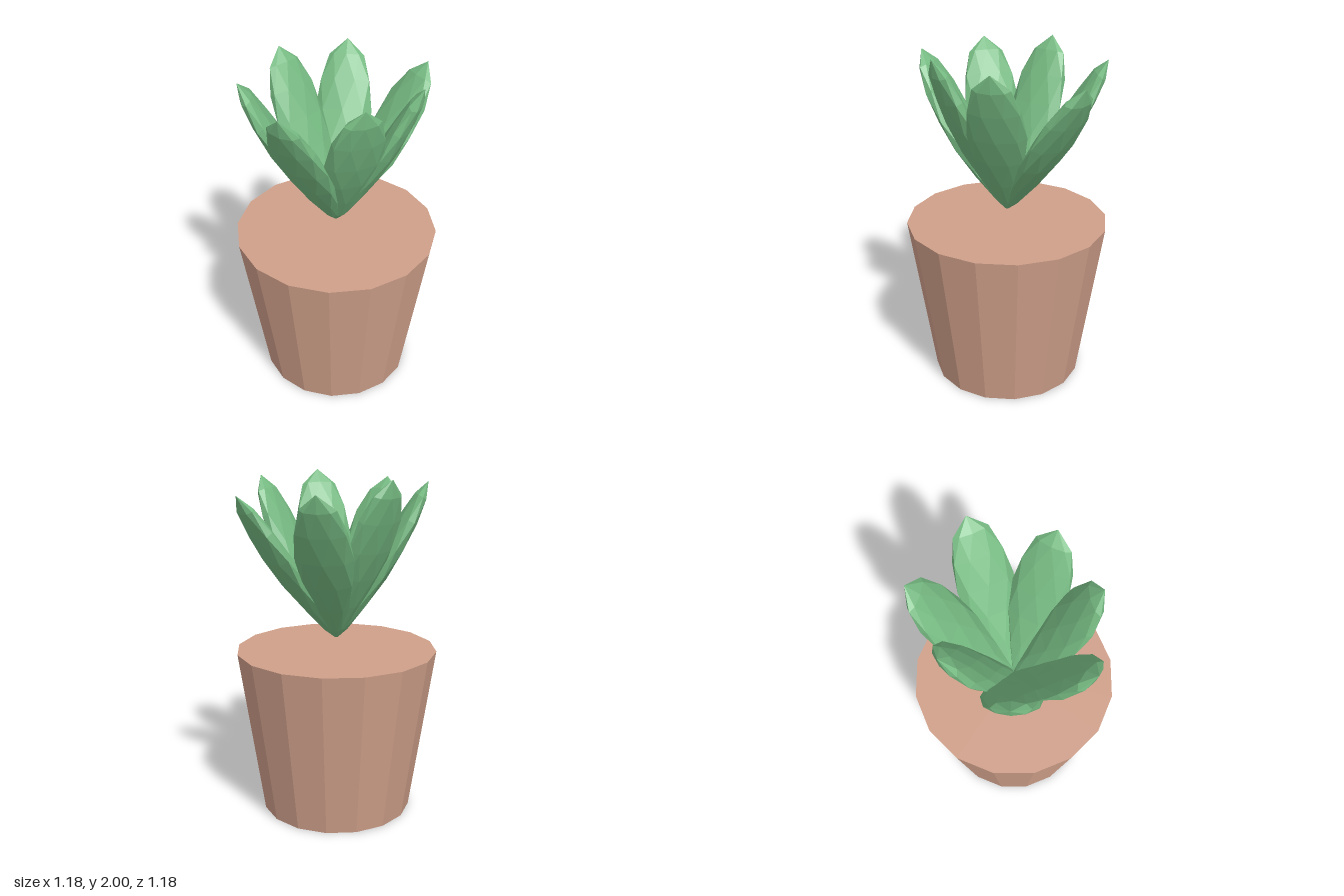
import * as THREE from 'three';

const potMaterial = new THREE.MeshStandardMaterial({ color: 0xd0a08a, flatShading: true });
potMaterial.name = 'terracotta';
const leafMaterial = new THREE.MeshStandardMaterial({ color: 0x76ba82, flatShading: true });
leafMaterial.name = 'leaf green';

// Faceted fleshy leaf growing along +y, its back bowed towards +z
function leafGeometry() {
  const length = 1.045, sides = 8, bow = 0.018;
  // [position along the leaf, half width, half thickness]
  const sections = [
    [0.0, 0.012, 0.01], [0.07, 0.042, 0.03], [0.24, 0.1, 0.047], [0.43, 0.15, 0.058],
    [0.6, 0.166, 0.06], [0.77, 0.152, 0.052], [0.91, 0.102, 0.036],
  ];
  const positions = [];
  const index = [];
  sections.forEach(([t, w, d], i) => {
    for (let j = 0; j < sides; j++) {
      const a = ((j + (i % 2) / 2) / sides) * Math.PI * 2;
      positions.push(Math.cos(a) * w, t * length, Math.sin(a) * d + bow * Math.sin(Math.PI * t));
    }
  });
  const tip = sections.length * sides;
  const base = tip + 1;
  positions.push(0, length, 0, 0, 0, 0);

  for (let i = 0; i < sections.length - 1; i++) {
    for (let j = 0; j < sides; j++) {
      const k = (j + 1) % sides;
      const a = i * sides + j, b = i * sides + k;
      const c = a + sides, d = b + sides;
      // alternate rings are twisted half a step, so the diagonal alternates too
      if (i % 2 === 0) index.push(a, c, b, b, c, d);
      else index.push(a, c, d, a, d, b);
    }
  }
  const last = tip - sides;
  for (let j = 0; j < sides; j++) {
    const k = (j + 1) % sides;
    index.push(last + j, tip, last + k, base, j, k);
  }
  const geometry = new THREE.BufferGeometry();
  geometry.setAttribute('position', new THREE.Float32BufferAttribute(positions, 3));
  geometry.setIndex(index);
  const flat = geometry.toNonIndexed();
  flat.computeVertexNormals();
  return flat;
}

export function createModel() {
  const model = new THREE.Group();
  model.name = 'pottedSucculent';

  // Tapered sixteen-sided pot
  const pot = new THREE.Mesh(new THREE.CylinderGeometry(0.592, 0.447, 0.985, 16), potMaterial);
  pot.name = 'pot';
  pot.position.set(-0.005, 0.4925, 0);
  model.add(pot);

  // Rosette of seven leaves, each leaning out a little differently
  const rosette = new THREE.Group();
  rosette.name = 'rosette';
  rosette.position.set(-0.005, 1.058, 0);
  const geometry = leafGeometry();
  const leans = [25.6, 27.5, 35.5, 32.5, 25.8, 30, 30.5];
  leans.forEach((lean, i) => {
    const leaf = new THREE.Mesh(geometry, leafMaterial);
    leaf.name = `leaf${i + 1}`;
    leaf.rotation.set(THREE.MathUtils.degToRad(lean), (i / leans.length) * Math.PI * 2, 0, 'YXZ');
    rosette.add(leaf);
  });
  model.add(rosette);

  return model;
}
